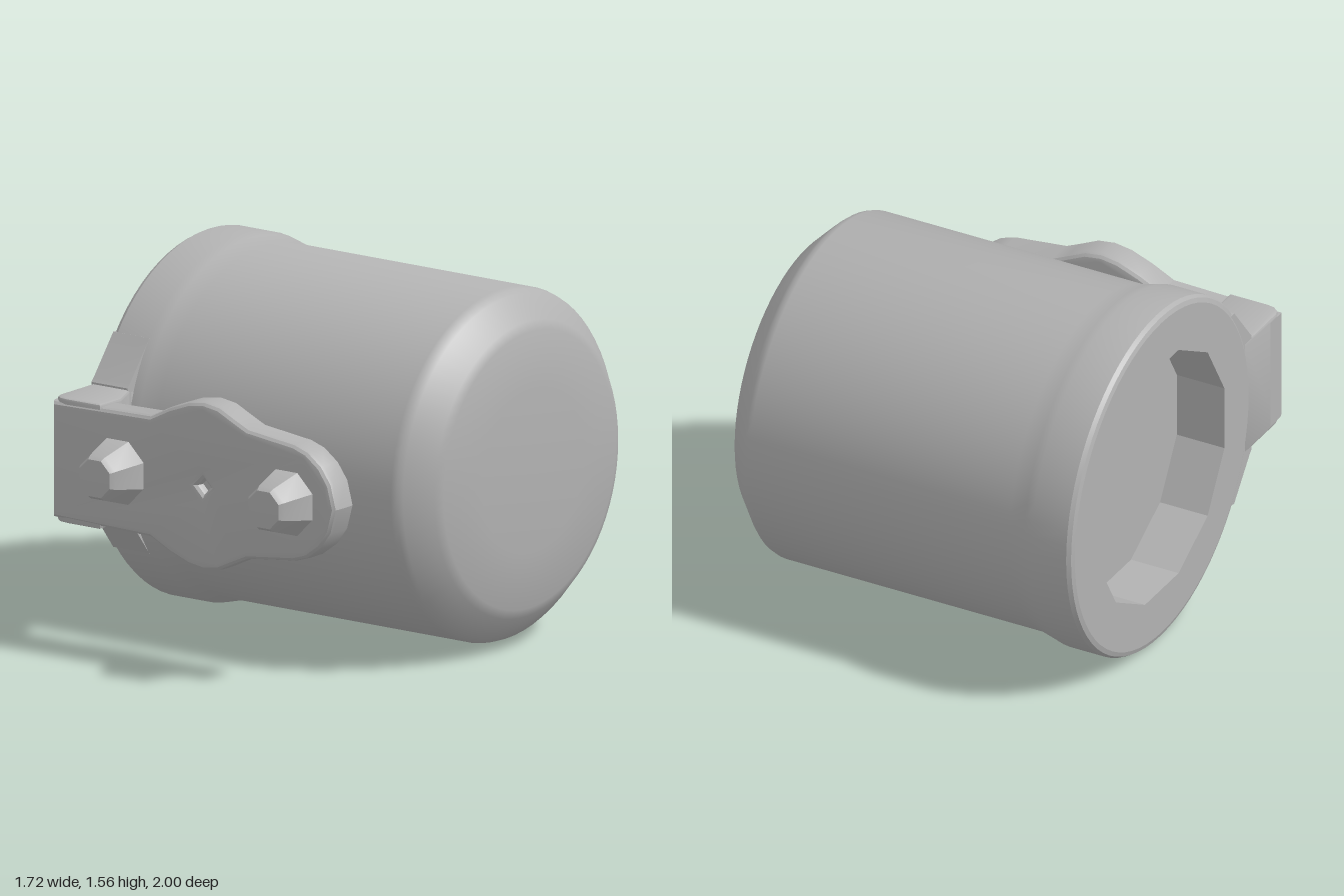
import * as THREE from 'three';
import { toCreasedNormals } from 'three/addons/utils/BufferGeometryUtils.js';

const CY = 0.78, CZ = -0.22; // drum axis

export function createModel() {
  const group = new THREE.Group();
  const grey = new THREE.MeshStandardMaterial({ color: 0xb2b2b2 });
  grey.name = 'grey';

  const add = (name, geometry, x = 0, y = 0, z = 0) => {
    const mesh = new THREE.Mesh(toCreasedNormals(geometry, 0.45), grey);
    mesh.name = name;
    mesh.position.set(x, y, z);
    group.add(mesh);
    return mesh;
  };
  const vectors = (list) => list.map(([a, b]) => new THREE.Vector2(a, b));
  const extrude = (shape, depth, options = {}) =>
    new THREE.ExtrudeGeometry(shape, { depth, bevelEnabled: false, curveSegments: 24, ...options });
  const polygon = (sides, radius, turn = 0) =>
    Array.from({ length: sides }, (_, i) => {
      const a = turn + (i / sides) * Math.PI * 2;
      return new THREE.Vector2(radius * Math.cos(a), radius * Math.sin(a));
    });

  // Drum: radius and position along the axis, with collar and domed end
  const drum = new THREE.LatheGeometry(vectors([
    [0.75, -0.86], [0.77, -0.853], [0.78, -0.835], [0.78, -0.67], [0.77, -0.63],
    [0.75, -0.55], [0.75, 0.68], [0.742, 0.705], [0.725, 0.725], [0.63, 0.815],
    [0.59, 0.833], [0.35, 0.85], [0, 0.86],
  ]), 72);
  drum.rotateZ(-Math.PI / 2);
  add('drum', drum, 0, CY, CZ);

  // Open end: rim with a twelve-sided recess and its floor
  const rim = new THREE.Shape(polygon(72, 0.75));
  rim.holes.push(new THREE.Path(polygon(12, 0.56, Math.PI / 12)));
  add('rim', extrude(rim, 0.23).rotateY(Math.PI / 2), -0.86, CY, CZ);
  add('recessFloor', new THREE.CircleGeometry(0.6, 24).rotateY(-Math.PI / 2), -0.635, CY, CZ);

  // Web flaring from the collar to the arm
  const web = new THREE.Shape(vectors([
    [-0.37, -0.46], [-0.37, 0.46], [-0.41, 0.46], [-0.545, 0.29], [-0.56, 0.275],
    [-0.56, -0.275], [-0.545, -0.29], [-0.41, -0.46],
  ]));
  add('web', extrude(web, 0.188).rotateY(Math.PI / 2), -0.858, CY, 0);

  // Arm carrying the plate, with a rounded outer corner
  const arm = new THREE.Shape(vectors([
    [-0.86, -0.5], [-0.86, -0.77], [-0.85, -0.8], [-0.825, -0.82], [-0.79, -0.826],
    [-0.61, -0.826], [-0.61, -0.68], [-0.67, -0.545], [-0.67, -0.5],
  ]));
  add('arm', extrude(arm, 0.51, {
    bevelEnabled: true, bevelSize: 0.012, bevelOffset: -0.012, bevelThickness: 0.012, bevelSegments: 2,
  }).rotateX(-Math.PI / 2), 0, CY - 0.255, 0);

  // Mounting plate: mirrored outline with a centre bulge and a round end
  const upper = [
    [-0.86, 0.25], [-0.35, 0.26], [-0.25, 0.31], [-0.15, 0.348], [-0.07, 0.36],
    [0.01, 0.348], [0.09, 0.31], [0.16, 0.278], [0.4, 0.25], [0.47, 0.227],
    [0.54, 0.175], [0.59, 0.105],
  ];
  const lower = upper.map(([x, y]) => [x, -y]);
  const plate = new THREE.Shape(vectors([...lower, [0.618, 0], ...upper.slice().reverse()]));
  plate.holes.push(new THREE.Path(
    polygon(4, 0.03).map((p) => p.add(new THREE.Vector2(-0.07, 0)))));
  add('plate', extrude(plate, 0.085, {
    bevelEnabled: true, bevelSize: 0.03, bevelOffset: -0.03, bevelThickness: 0.03, bevelSegments: 3,
  }), 0, CY, 0.72);
  add('pitBacking', new THREE.BoxGeometry(0.2, 0.2, 0.1), -0.07, CY, 0.739);

  // Two tapered eight-sided studs
  for (const x of [-0.51, 0.37]) {
    const stud = new THREE.LatheGeometry(vectors([
      [0.145, 0.8], [0.145, 0.84], [0.1, 0.975], [0.085, 0.995], [0, 1],
    ]), 8, Math.PI / 8);
    add('stud', stud.rotateX(Math.PI / 2), x, CY, 0);
  }
  return group;
}
